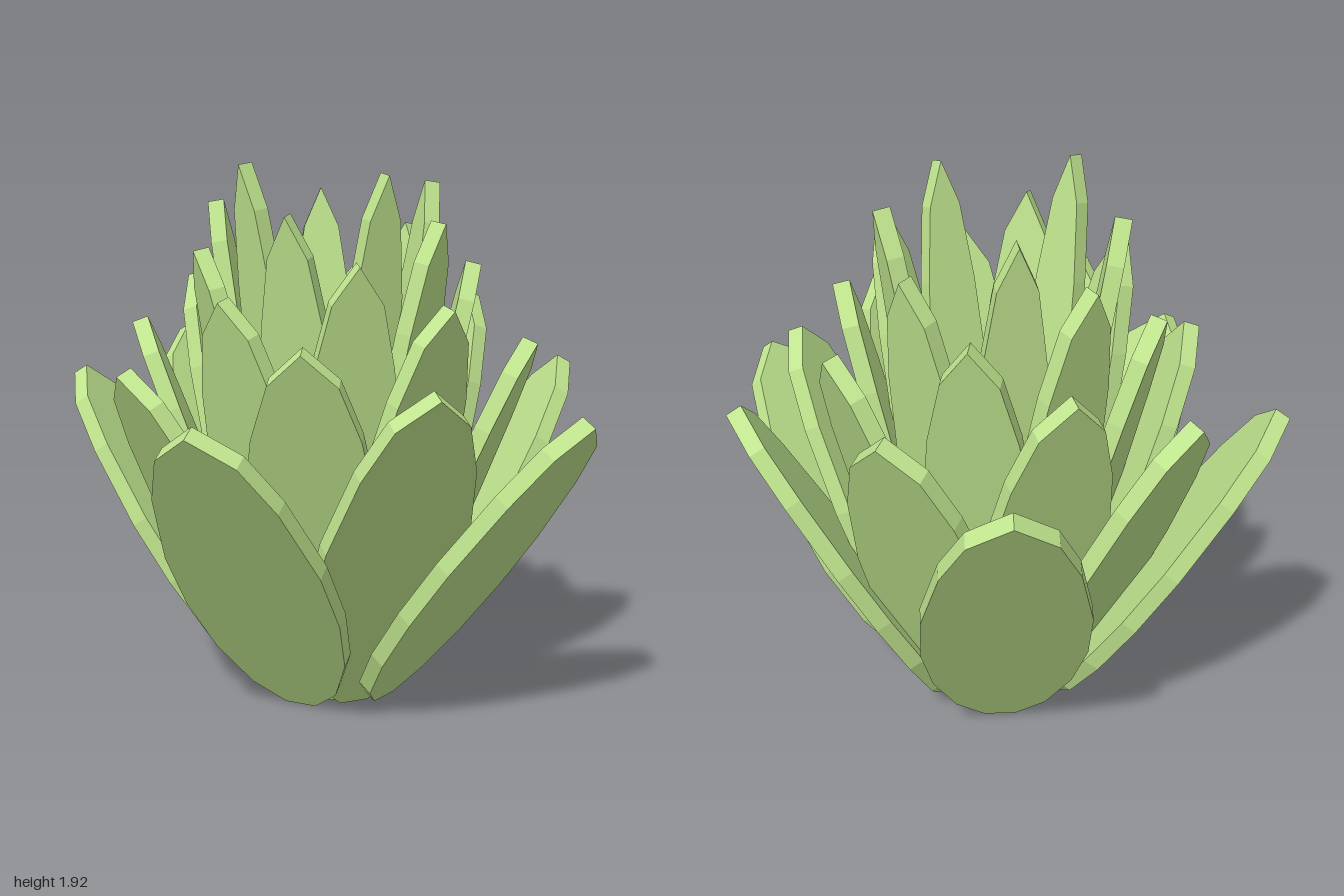
import * as THREE from 'three';

const LEAVES = 30;
const STEP = THREE.MathUtils.degToRad(-78);   // turn from one leaf to the next
const START = THREE.MathUtils.degToRad(89);
const THICK = 0.058;

// Half outline of a leaf: [share of half width, share of length]
const OUTLINE = [
  [0.2, 0], [0.56, 0.07], [0.85, 0.21], [0.99, 0.38], [0.98, 0.56],
  [0.77, 0.78], [0.49, 0.92],
];

// Flat slab leaf, foot at the origin, outer face on z = 0
function leafGeometry(width, length) {
  const half = OUTLINE.map(([x, y]) => new THREE.Vector2(x * width / 2, y * length));
  const mirrored = half.map((p) => new THREE.Vector2(-p.x, p.y)).reverse();
  const shape = new THREE.Shape([...half, new THREE.Vector2(0, length), ...mirrored]);
  const geometry = new THREE.ExtrudeGeometry(shape, { depth: THICK, bevelEnabled: false });
  return geometry.translate(0, 0, -THICK);
}

export function createModel() {
  const plant = new THREE.Group();
  plant.name = 'succulent';
  const green = new THREE.MeshStandardMaterial({ color: 0xc0e58e, flatShading: true });

  const rosette = new THREE.Group();
  rosette.name = 'rosette';
  rosette.position.set(-0.072, 0, -0.1);
  plant.add(rosette);

  // Spiral from the low, wide outer leaves to the tall, slim inner ones
  for (let i = 0; i < LEAVES; i++) {
    const t = i / (LEAVES - 1);
    const footRadius = THREE.MathUtils.lerp(0.25, 0.12, t);
    const footHeight = 0.03 * t;
    const width = THREE.MathUtils.lerp(0.6, 0.225, t);
    const tipRadius = 1.06 - 0.039 * i + 0.00056 * i * i;
    const top = 1.13 + 0.021 * i + 0.00022 * i * i;

    // The inner rim of the tilted slab is its highest point
    const reach = tipRadius - footRadius;
    const slope = Math.atan2(reach, top - footHeight);
    const rise = top - footHeight - THICK * Math.sin(slope);

    const geometry = leafGeometry(width, Math.hypot(reach, rise));
    geometry.rotateX(Math.atan2(reach, rise));
    geometry.translate(0, footHeight, footRadius);
    geometry.rotateY(START + i * STEP);

    const leaf = new THREE.Mesh(geometry, green);
    leaf.name = `leaf${i + 1}`;
    rosette.add(leaf);
  }
  return plant;
}
